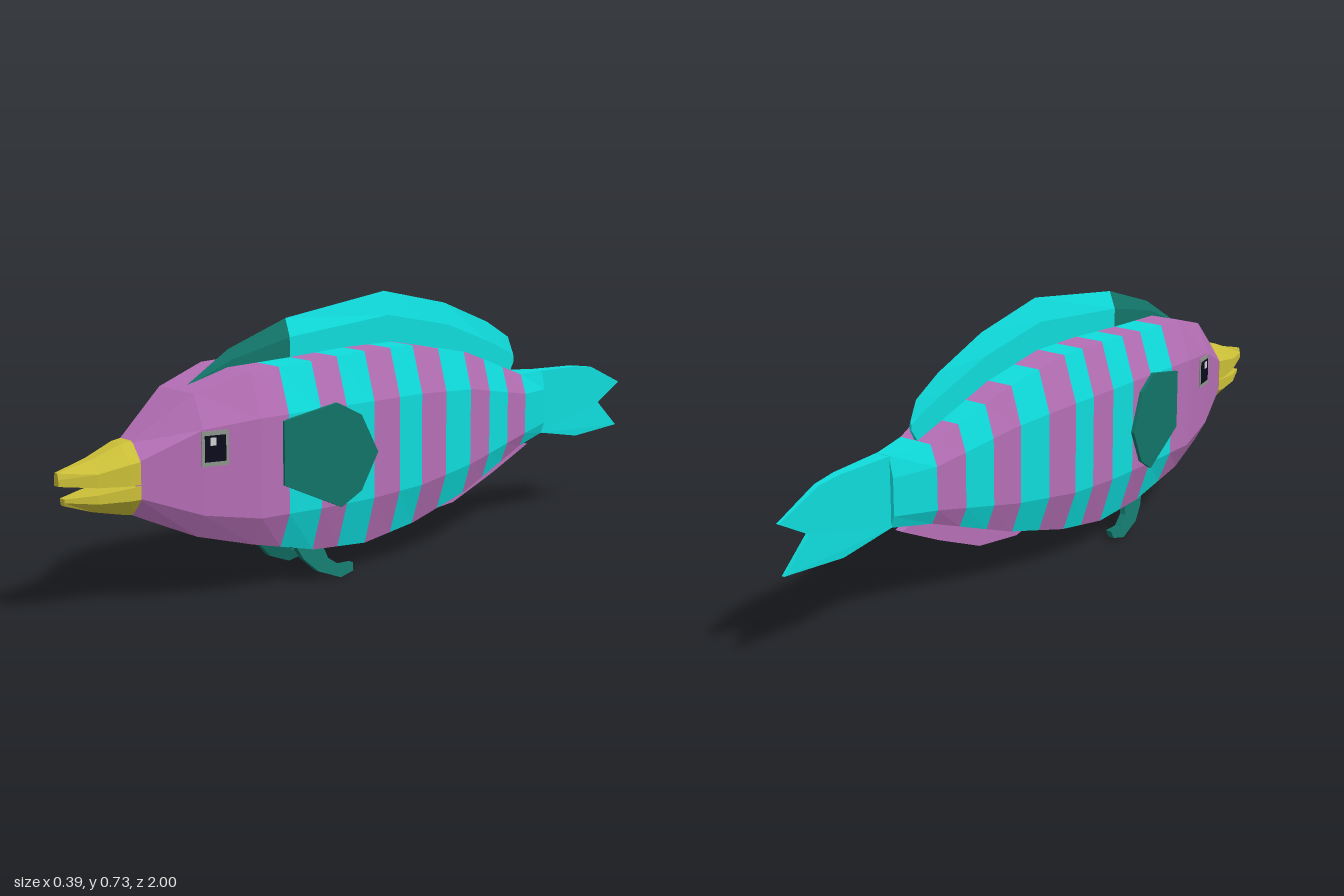
import * as THREE from 'three';

const mat = (name, color) => {
  const m = new THREE.MeshStandardMaterial({ color });
  m.name = name;
  return m;
};

// Flat-faced skin over rings running from front (+z) to back; each ring is counter-clockwise seen from +z
function loft(rings, capFront = true, capBack = true) {
  const pos = [], n = rings[0].length;
  const tri = (...pts) => pts.forEach(p => pos.push(...p));
  for (let i = 0; i < rings.length - 1; i++) {
    const r = rings[i], s = rings[i + 1];
    for (let j = 0; j < n; j++) {
      const k = (j + 1) % n;
      tri(r[j], s[j], r[k]);
      tri(r[k], s[j], s[k]);
    }
  }
  const last = rings[rings.length - 1];
  for (let j = 1; j < n - 1; j++) {
    if (capFront) tri(rings[0][0], rings[0][j], rings[0][j + 1]);
    if (capBack) tri(last[0], last[j + 1], last[j]);
  }
  const g = new THREE.BufferGeometry();
  g.setAttribute('position', new THREE.Float32BufferAttribute(pos, 3));
  g.computeVertexNormals();
  return g;
}

// Plate from a [z, y] outline; xAt(z, y, side) gives x for its two faces (side = -1 or 1)
function plate(outline, xAt) {
  const shape = new THREE.Shape(outline.map(([z, y]) => new THREE.Vector2(-z, y)));
  const g = new THREE.ExtrudeGeometry(shape, { depth: 1, bevelEnabled: false, curveSegments: 1 });
  g.rotateY(Math.PI / 2);
  const p = g.attributes.position;
  for (let i = 0; i < p.count; i++) {
    const side = p.getX(i) > 0.5 ? 1 : -1;
    p.setX(i, xAt(p.getZ(i), p.getY(i), side));
  }
  g.computeVertexNormals();
  return g;
}

// Body stations: z, top, upper side, lower side, bottom, half width, half width of the flat top and belly
const STATIONS = [
  [0.81, 0.43, 0.385, 0.30, 0.253, 0.055, 0.022],
  [0.65, 0.54, 0.455, 0.24, 0.18, 0.11, 0.075],
  [0.50, 0.583, 0.47, 0.215, 0.14, 0.145, 0.105],
  [0.30, 0.59, 0.47, 0.21, 0.092, 0.145, 0.105],
  [0.125, 0.598, 0.47, 0.21, 0.08, 0.145, 0.105],
  [-0.05, 0.597, 0.47, 0.22, 0.107, 0.145, 0.105],
  [-0.26, 0.555, 0.455, 0.245, 0.16, 0.12, 0.09],
  [-0.52, 0.46, 0.405, 0.29, 0.25, 0.07, 0.05],
  [-0.64, 0.455, 0.40, 0.30, 0.268, 0.032, 0.02],
];

function stationAt(z) {
  let i = 0;
  while (i < STATIONS.length - 2 && z < STATIONS[i + 1][0]) i++;
  const a = STATIONS[i], b = STATIONS[i + 1], t = (z - a[0]) / (b[0] - a[0]);
  return a.map((v, k) => v + (b[k] - v) * t);
}

function bodyRing(z) {
  const [, top, up, low, bottom, w, f] = stationAt(z);
  return [[f, bottom, z], [w, low, z], [w, up, z], [f, top, z],
    [-f, top, z], [-w, up, z], [-w, low, z], [-f, bottom, z]];
}

export function createModel() {
  const group = new THREE.Group();
  const purple = mat('purple scales', 0xb56fb5);
  const cyan = mat('cyan scales', 0x0fdcdc);
  const darkTeal = mat('dark teal fin', 0x127468);
  const yellow = mat('yellow beak', 0xcbbf38);
  const grey = mat('grey eye rim', 0x8c968c);
  const black = mat('black pupil', 0x0a0a1c);
  const white = mat('pale eye glint', 0xd0d0d0);
  const add = (name, geometry, material, parent = group) => {
    const m = new THREE.Mesh(geometry, material);
    m.name = name;
    parent.add(m);
    return m;
  };

  // Striped body, alternating from the purple head to the cyan tail root
  const edges = [0.81, 0.41, 0.305, 0.22, 0.125, 0.035, -0.045, -0.145, -0.25, -0.34, -0.43, -0.52, -0.64];
  for (let i = 0; i < edges.length - 1; i++) {
    const inner = STATIONS.map(s => s[0]).filter(z => z < edges[i] - 1e-6 && z > edges[i + 1] + 1e-6);
    const rings = [edges[i], ...inner, edges[i + 1]].map(bodyRing);
    const name = i === 0 ? 'head' : i === edges.length - 2 ? 'tailRoot' : 'bodyStripe' + i;
    add(name, loft(rings, i === 0, i === edges.length - 2), i % 2 ? cyan : purple);
  }

  // Forked tail fin, thinning toward the tips
  add('tailFin', plate(
    [[-0.62, 0.455], [-0.62, 0.27], [-0.64, 0.268], [-0.8, 0.237], [-0.99, 0.247],
      [-0.905, 0.327], [-1, 0.38], [-0.87, 0.44], [-0.8, 0.45]],
    (z, y, s) => s * Math.max(0.004, 0.022 + (z + 0.64) * 0.06)), cyan);

  // Dorsal fin sections: z, base, top, half width
  const dorsal = [
    [0.62, 0.54, 0.548, 0.002], [0.49, 0.56, 0.627, 0.012], [0.305, 0.57, 0.69, 0.018],
    [-0.035, 0.575, 0.735, 0.018], [-0.26, 0.535, 0.685, 0.015], [-0.43, 0.475, 0.616, 0.01],
    [-0.515, 0.455, 0.565, 0.006], [-0.537, 0.49, 0.515, 0.003],
  ].map(([z, base, top, w]) => {
    const mid = base + (top - base) * 0.6;
    return [[w, base, z], [w, mid, z], [0, top, z], [-w, mid, z], [-w, base, z]];
  });
  add('dorsalFinFront', loft(dorsal.slice(0, 3)), darkTeal);
  add('dorsalFin', loft(dorsal.slice(2)), cyan);

  // Anal fin under the belly
  add('analFin', plate(
    [[-0.04, 0.115], [-0.135, 0.093], [-0.29, 0.11], [-0.45, 0.175], [-0.59, 0.24], [-0.5, 0.27], [-0.26, 0.19]],
    (z, y, s) => s * 0.012), purple);

  // Beak halves, wide at the face and narrow at the tip: z, mouth edge, cheek, ridge, half width, ridge half width
  const jaw = (rows, flip) => loft(rows.map(([z, mouth, cheek, ridge, w, f]) => {
    const ring = [[-w, mouth, z], [w, mouth, z], [w, cheek, z], [f, ridge, z], [-f, ridge, z], [-w, cheek, z]];
    return flip ? ring.reverse() : ring;
  }));
  add('upperBeak', jaw([
    [1, 0.348, 0.365, 0.38, 0.01, 0.006], [0.91, 0.337, 0.37, 0.402, 0.042, 0.015],
    [0.83, 0.332, 0.385, 0.432, 0.059, 0.022], [0.8, 0.332, 0.388, 0.436, 0.06, 0.024]], false), yellow);
  add('lowerBeak', jaw([
    [0.985, 0.315, 0.306, 0.298, 0.01, 0.006], [0.91, 0.319, 0.297, 0.273, 0.042, 0.015],
    [0.83, 0.327, 0.295, 0.255, 0.059, 0.022], [0.8, 0.329, 0.295, 0.25, 0.06, 0.024]], true), yellow);

  // Paired fins and eyes
  const pectoral = [[0.43, 0.455], [0.43, 0.29], [0.265, 0.213], [0.205, 0.25],
    [0.155, 0.347], [0.205, 0.45], [0.275, 0.487]];
  const ventral = [[0.35, 0.11], [0.33, 0.07], [0.29, 0.032], [0.22, 0.005], [0.175, 0.015],
    [0.17, 0.035], [0.215, 0.036], [0.25, 0.06], [0.265, 0.11]];
  for (const [label, side] of [['left', 1], ['right', -1]]) {
    add(label + 'PectoralFin', plate(pectoral,
      (z, y, s) => side * (0.147 + (0.43 - z) * 0.155) + s * 0.005), darkTeal);
    add(label + 'VentralFin', plate(ventral,
      (z, y, s) => side * (0.082 + (0.1 - y) * 0.3) + s * 0.009), darkTeal);

    const eye = new THREE.Group();
    eye.name = label + 'Eye';
    eye.position.set(side * 0.117, 0.407, 0.62);
    eye.rotation.y = -side * 0.23;
    add('eyeRim', new THREE.BoxGeometry(0.006, 0.088, 0.072), grey, eye);
    add('pupil', new THREE.BoxGeometry(0.009, 0.066, 0.056), black, eye);
    add('glint', new THREE.BoxGeometry(0.0098, 0.02, 0.016), white, eye).position.set(side * 0.001, 0.018, 0.006);
    group.add(eye);
  }
  return group;
}
